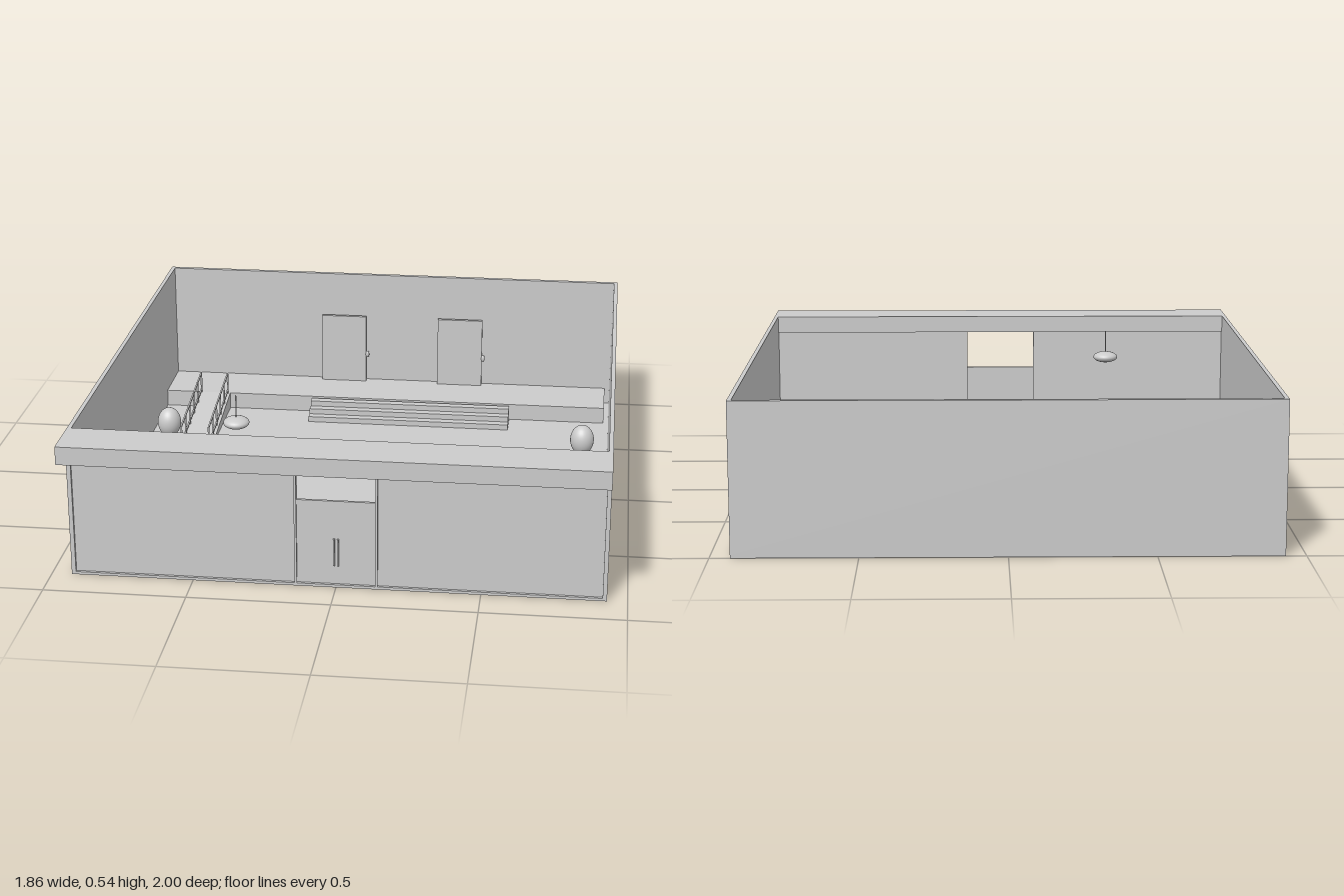
import * as THREE from 'three';

export function createModel() {
  const model = new THREE.Group();
  const mat = new THREE.MeshStandardMaterial({ color: 0xcccccc });
  const FLOOR = 0.01;

  function add(name, geometry, parent = model) {
    const mesh = new THREE.Mesh(geometry, mat);
    mesh.name = name;
    parent.add(mesh);
    return mesh;
  }
  // Box given by its limits on each axis
  function box(name, x0, x1, y0, y1, z0, z1, parent = model) {
    const m = add(name, new THREE.BoxGeometry(x1 - x0, y1 - y0, z1 - z0), parent);
    m.position.set((x0 + x1) / 2, (y0 + y1) / 2, (z0 + z1) / 2);
    return m;
  }
  function group(name) {
    const g = new THREE.Group();
    g.name = name;
    model.add(g);
    return g;
  }

  // Building shell
  box('floor', -0.93, 0.93, 0, FLOOR, -1, 0.865);
  box('backWall', -0.93, 0.93, FLOOR, 0.535, -1, -0.982);
  for (const s of [-1, 1]) {
    const a = s * 0.915, b = s * 0.93;
    box('sideWall', Math.min(a, b), Math.max(a, b), FLOOR, 0.535, -0.982, 0.865);
  }
  box('canopy', -0.93, 0.93, 0.47, 0.535, 0.825, 1);

  // Shopfront panels, posts and entrance doors
  for (const s of [-1, 1]) {
    const p = [s * 0.14, s * 0.915].sort((a, b) => a - b);
    box('frontPanel', p[0], p[1], FLOOR, 0.47, 0.842, 0.855);
    box('doorPost', s * 0.14 - 0.004, s * 0.14 + 0.004, FLOOR, 0.47, 0.838, 0.865);
    const d = [0, s * 0.137].sort((a, b) => a - b);
    box('entranceDoor', d[0], d[1], FLOOR, 0.32, 0.845, 0.855);
    box('doorHandle', s * 0.007 - 0.003, s * 0.007 + 0.003, 0.08, 0.18, 0.855, 0.864);
  }

  // Raised platform with two inner doors
  const top = 0.075;
  box('platform', -0.915, 0.895, FLOOR, top, -0.982, -0.75);
  for (const x of [-0.29, 0.195]) {
    box('innerDoor', x, x + 0.185, top, 0.36, -0.968, -0.954);
    const knob = add('innerDoorKnob', new THREE.SphereGeometry(0.008, 12, 8));
    knob.scale.y = 1.8;
    knob.position.set(x + 0.19, 0.195, -0.957);
  }

  // Steps up to the platform
  const steps = group('steps');
  for (let i = 0; i < 3; i++) {
    const z = -0.63 - i * 0.0333;
    box('step', -0.305, 0.51, FLOOR, FLOOR + 0.0217 * (i + 1), z - 0.0333, z, steps);
  }

  // Ramp with railings on both sides
  const ramp = group('ramp');
  const zTop = -0.75, zEnd = -0.305;
  const profile = new THREE.Shape();
  profile.moveTo(-zTop, FLOOR);
  profile.lineTo(-zTop, top);
  profile.lineTo(-zEnd, FLOOR);
  const rampGeo = new THREE.ExtrudeGeometry(profile, { depth: 0.13, bevelEnabled: false });
  rampGeo.rotateY(Math.PI / 2);
  add('rampSlope', rampGeo, ramp).position.x = -0.78;
  const slope = Math.atan2(top - FLOOR, zEnd - zTop);
  const length = Math.hypot(top - FLOOR, zEnd - zTop);
  for (const x of [-0.77, -0.66]) {
    for (const h of [0.015, 0.085]) {
      const rail = add('handrail', new THREE.BoxGeometry(0.006, 0.006, length), ramp);
      rail.position.set(x, (top + FLOOR) / 2 + h, (zTop + zEnd) / 2);
      rail.rotation.x = slope;
    }
    for (let i = 0; i < 6; i++) {
      const t = i / 5;
      const z = zTop + 0.003 + (zEnd - zTop - 0.006) * t;
      const y = top + (FLOOR - top) * t;
      box('railPost', x - 0.003, x + 0.003, y, y + 0.088, z - 0.003, z + 0.003, ramp);
    }
  }

  // Potted plants in the corners
  for (const x of [-0.815, 0.815]) for (const z of [-0.3, 0.75]) {
    const plant = group('plant');
    plant.position.set(x, FLOOR, z);
    add('pot', new THREE.CylinderGeometry(0.025, 0.021, 0.06, 20), plant).position.y = 0.03;
    const foliage = add('foliage', new THREE.SphereGeometry(0.046, 28, 18), plant);
    foliage.scale.y = 1.28;
    foliage.position.y = 0.107;
  }

  // Round table with sofas and stools around it
  const lounge = group('lounge');
  lounge.position.set(-0.41, FLOOR, 0.45);
  add('tableTop', new THREE.CylinderGeometry(0.056, 0.056, 0.008, 32), lounge).position.y = 0.051;
  add('tableLeg', new THREE.CylinderGeometry(0.01, 0.01, 0.048, 16), lounge).position.y = 0.024;
  box('rearSofa', -0.105, 0.105, 0, 0.06, -0.17, -0.08, lounge);
  box('frontSofa', -0.105, 0.105, 0, 0.06, 0.09, 0.18, lounge);
  for (const x of [-0.117, 0.117]) box('stool', x - 0.04, x + 0.04, 0, 0.06, -0.04, 0.04, lounge);

  // Hanging lamp above the table
  const lamp = group('hangingLamp');
  lamp.position.set(-0.41, 0, 0.45);
  const shade = add('lampShade', new THREE.SphereGeometry(0.047, 28, 16), lamp);
  shade.scale.y = 0.45;
  shade.position.y = 0.43;
  add('lampCord', new THREE.CylinderGeometry(0.002, 0.002, 0.09, 8), lamp).position.y = 0.488;

  // Reception desk
  const desk = group('receptionDesk');
  box('deskCounter', 0.335, 0.635, FLOOR, 0.14, 0.165, 0.26, desk);
  box('deskCabinet', 0.635, 0.83, FLOOR, 0.12, 0.16, 0.262, desk);
  box('deskEndPanel', 0.32, 0.335, FLOOR, 0.145, 0.1, 0.26, desk);
  box('deskFrontPanel', 0.37, 0.585, 0.03, 0.12, 0.26, 0.266, desk);

  // Small side table
  const table = group('sideTable');
  box('sideTableTop', 0.197, 0.262, 0.056, 0.066, 0.57, 0.69, table);
  for (const x of [0.203, 0.256]) for (const z of [0.577, 0.683]) {
    const leg = add('sideTableLeg', new THREE.CylinderGeometry(0.004, 0.004, 0.046, 10), table);
    leg.position.set(x, FLOOR + 0.023, z);
  }
  return model;
}
